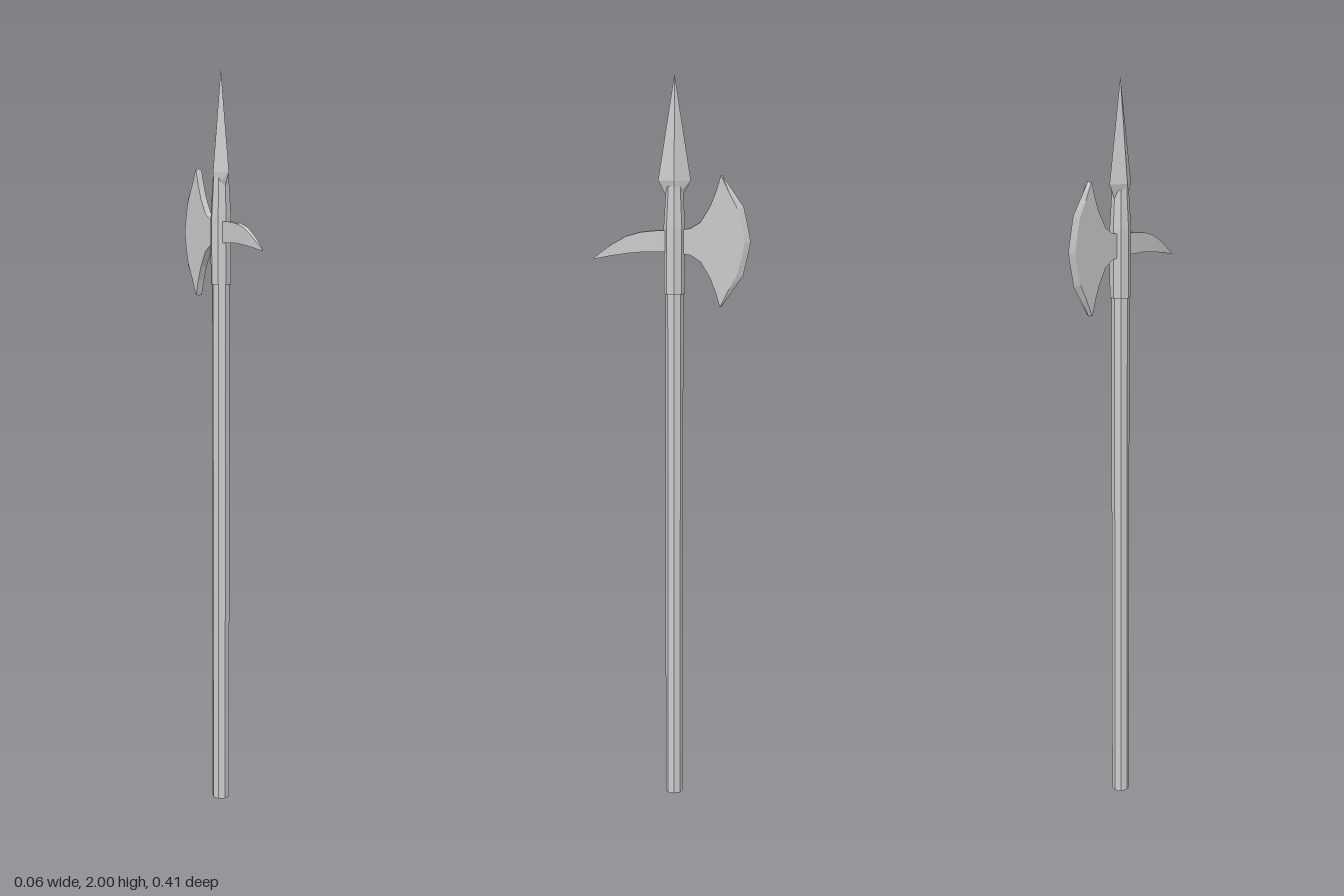
import * as THREE from 'three';

const material = new THREE.MeshStandardMaterial({
  color: 0xcccccc, flatShading: true, side: THREE.DoubleSide,
});

// Skin a list of equal-length rings (counter-clockwise about the travel direction) and cap both ends.
function loft(rings) {
  const n = rings[0].length;
  const index = [];
  for (let r = 0; r < rings.length - 1; r++) {
    for (let i = 0; i < n; i++) {
      const a = r * n + i, b = r * n + (i + 1) % n;
      index.push(a, b, b + n, a, b + n, a + n);
    }
  }
  const last = (rings.length - 1) * n;
  for (let i = 1; i < n - 1; i++) {
    index.push(0, i + 1, i, last, last + i, last + i + 1);
  }
  const geometry = new THREE.BufferGeometry();
  geometry.setAttribute('position', new THREE.Float32BufferAttribute(rings.flat(2), 3));
  geometry.setIndex(index);
  geometry.computeVertexNormals();
  return geometry;
}

export function createModel() {
  const group = new THREE.Group();
  const axisZ = -0.007; // the pole sits slightly behind the centre
  const headY = 1.577;  // height of the blade's middle
  const half = 0.009;   // half thickness of blade and spike

  function add(name, geometry, y = 0, z = 0) {
    const mesh = new THREE.Mesh(geometry, material);
    mesh.name = name;
    mesh.position.set(0, y, z);
    group.add(mesh);
  }

  // Octagonal pole
  add('shaft', new THREE.CylinderGeometry(0.024, 0.024, 1.6, 8), 0.8, axisZ);

  // Socket sleeve, narrowing towards the spear point
  add('socket', new THREE.CylinderGeometry(0.028, 0.028, 0.18, 8), 1.53, axisZ);
  add('socketNeck', new THREE.CylinderGeometry(0.022, 0.028, 0.1, 8), 1.67, axisZ);

  // Four-sided spear point: [y, half width x, half width z]
  const point = [[1.69, 0.02, 0.019], [1.735, 0.024, 0.0425], [2, 0.0004, 0.0004]];
  add('spearPoint', loft(point.map(([y, x, z]) =>
    [[x, y, 0], [0, y, -z], [-x, y, 0], [0, y, z]])), 0, axisZ);

  // Axe blade stations from middle to tip: inner z,y / bevel shoulder z,y / cutting edge z,y
  const upper = [
    [-0.015, 0, -0.191, 0, -0.207, 0],
    [-0.02, 0.03, -0.187, 0.022, -0.203, 0.022],
    [-0.05, 0.035, -0.183, 0.042, -0.198, 0.045],
    [-0.075, 0.051, -0.178, 0.064, -0.193, 0.068],
    [-0.1, 0.092, -0.172, 0.085, -0.188, 0.09],
    [-0.115, 0.13, -0.15, 0.125, -0.159, 0.132],
    [-0.127, 0.17, -0.13, 0.167, -0.131, 0.172],
  ];
  const lower = upper.slice(1).reverse().map((s) => s.map((v, i) => (i % 2 ? -v : v)));
  add('axeBlade', loft([...lower, ...upper].map(([iz, iy, sz, sy, ez, ey]) =>
    [[half, iy, iz], [half, sy, sz], [0, ey, ez], [-half, sy, sz], [-half, iy, iz]])), headY);

  // Curved back spike: [z, bottom y, top y, half width x]
  const spike = [
    [0.005, 1.551, 1.606, half],
    [0.04, 1.55, 1.606, half],
    [0.08, 1.55, 1.602, 0.008],
    [0.12, 1.546, 1.591, 0.007],
    [0.16, 1.54, 1.568, 0.005],
    [0.19, 1.534, 1.546, 0.0025],
    [0.207, 1.531, 1.533, 0.0005],
  ];
  add('backSpike', loft(spike.map(([z, b, t, w]) =>
    [[w, b, z], [w, t, z], [-w, t, z], [-w, b, z]])));

  return group;
}
